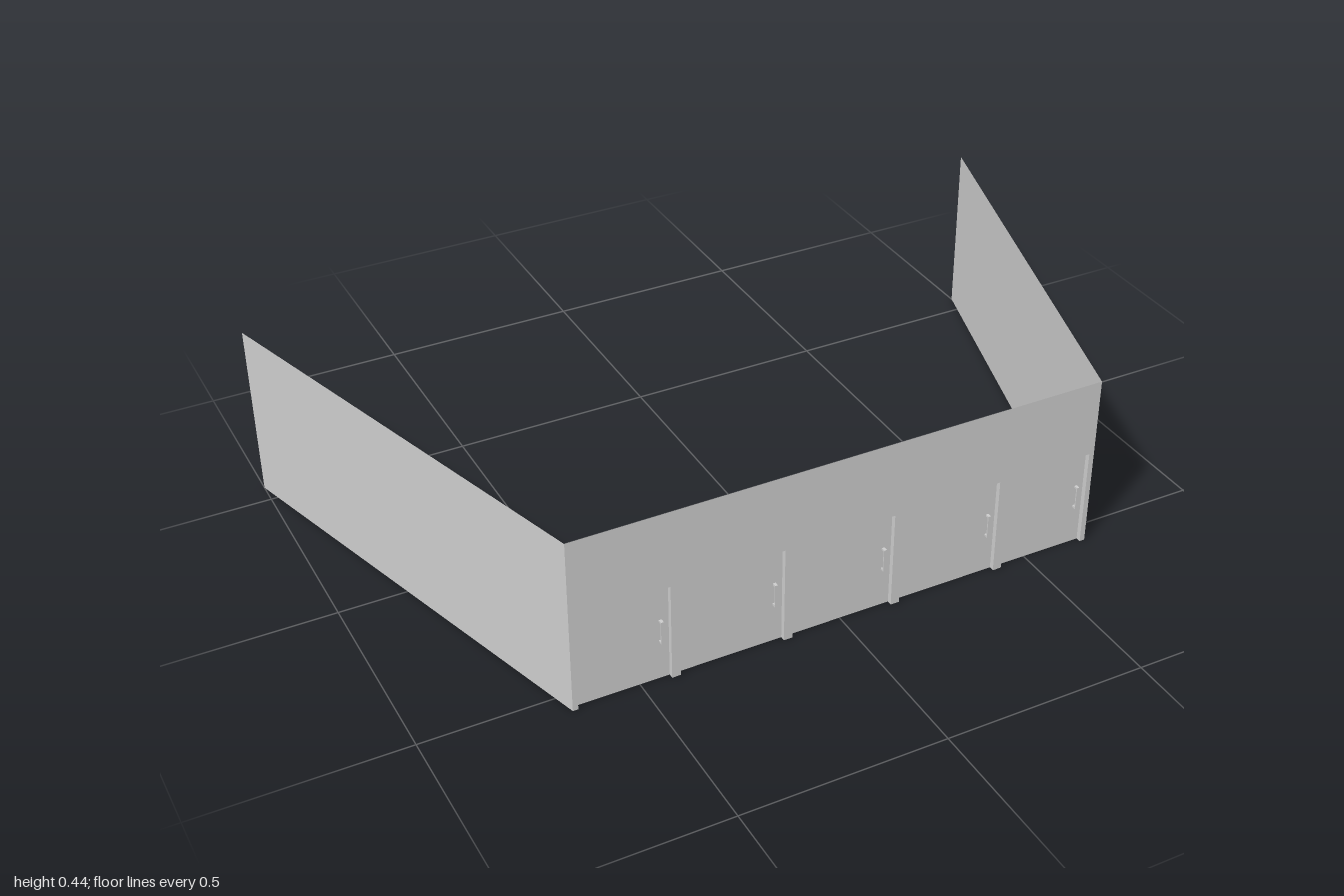
import * as THREE from 'three';

const H = 0.445, FRONT = 0.555, HALF = 0.665;
const DOOR_H = 0.25, DEPTH = 0.0125;
// left and right edge of each garage door
const DOORS = [[-0.652, -0.428], [-0.406, -0.15], [-0.128, 0.128], [0.15, 0.406], [0.428, 0.652]];

const wallMat = new THREE.MeshStandardMaterial({ color: 0xcccccc, side: THREE.DoubleSide });
const solidMat = new THREE.MeshStandardMaterial({ color: 0xcccccc });

function add(parent, name, geometry, material, x = 0, y = 0, z = 0) {
  const mesh = new THREE.Mesh(geometry, material);
  mesh.name = name;
  mesh.position.set(x, y, z);
  parent.add(mesh);
  return mesh;
}

// front sheet with a notch for every door
function frontWall() {
  const s = new THREE.Shape();
  s.moveTo(-HALF, 0);
  for (const [a, b] of DOORS) {
    s.lineTo(a, 0);
    s.lineTo(a, DOOR_H);
    s.lineTo(b, DOOR_H);
    s.lineTo(b, 0);
  }
  s.lineTo(HALF, 0);
  s.lineTo(HALF, H);
  s.lineTo(-HALF, H);
  return new THREE.ShapeGeometry(s);
}

// recessed panel with its jambs, lintel and pull handle
function garageDoor(a, b) {
  const g = new THREE.Group();
  g.name = 'garageDoor';
  const w = b - a, back = FRONT - DEPTH, mid = FRONT - DEPTH / 2;
  add(g, 'doorPanel', new THREE.PlaneGeometry(w, DOOR_H), wallMat, (a + b) / 2, DOOR_H / 2, back);
  for (const [x, turn] of [[a, 1], [b, -1]]) {
    const jamb = add(g, 'doorJamb', new THREE.PlaneGeometry(DEPTH, DOOR_H), wallMat, x, DOOR_H / 2, mid);
    jamb.rotation.y = turn * Math.PI / 2;
  }
  const lintel = add(g, 'doorLintel', new THREE.PlaneGeometry(w, DEPTH), wallMat, (a + b) / 2, DOOR_H, mid);
  lintel.rotation.x = Math.PI / 2;

  const hx = b - 0.02;
  add(g, 'handleBar', new THREE.BoxGeometry(0.007, 0.06, 0.003), solidMat, hx, 0.13, back + 0.0095);
  for (const y of [0.1025, 0.1575])
    add(g, 'handleMount', new THREE.BoxGeometry(0.007, 0.005, 0.008), solidMat, hx, y, back + 0.004);
  return g;
}

export function createModel() {
  const model = new THREE.Group();
  model.name = 'garageRow';

  add(model, 'frontWall', frontWall(), wallMat, 0, 0, FRONT);
  for (const [a, b] of DOORS) model.add(garageDoor(a, b));

  // splayed side walls running back from the front corners
  for (const side of [-1, 1]) {
    const dx = side * (1 - HALF), dz = -2 * FRONT;
    const wall = add(model, side > 0 ? 'leftWall' : 'rightWall',
      new THREE.PlaneGeometry(Math.hypot(dx, dz), H), wallMat, side * (1 + HALF) / 2, H / 2, 0);
    wall.rotation.y = Math.atan2(-dz, dx) + (side < 0 ? Math.PI : 0);
  }
  return model;
}
